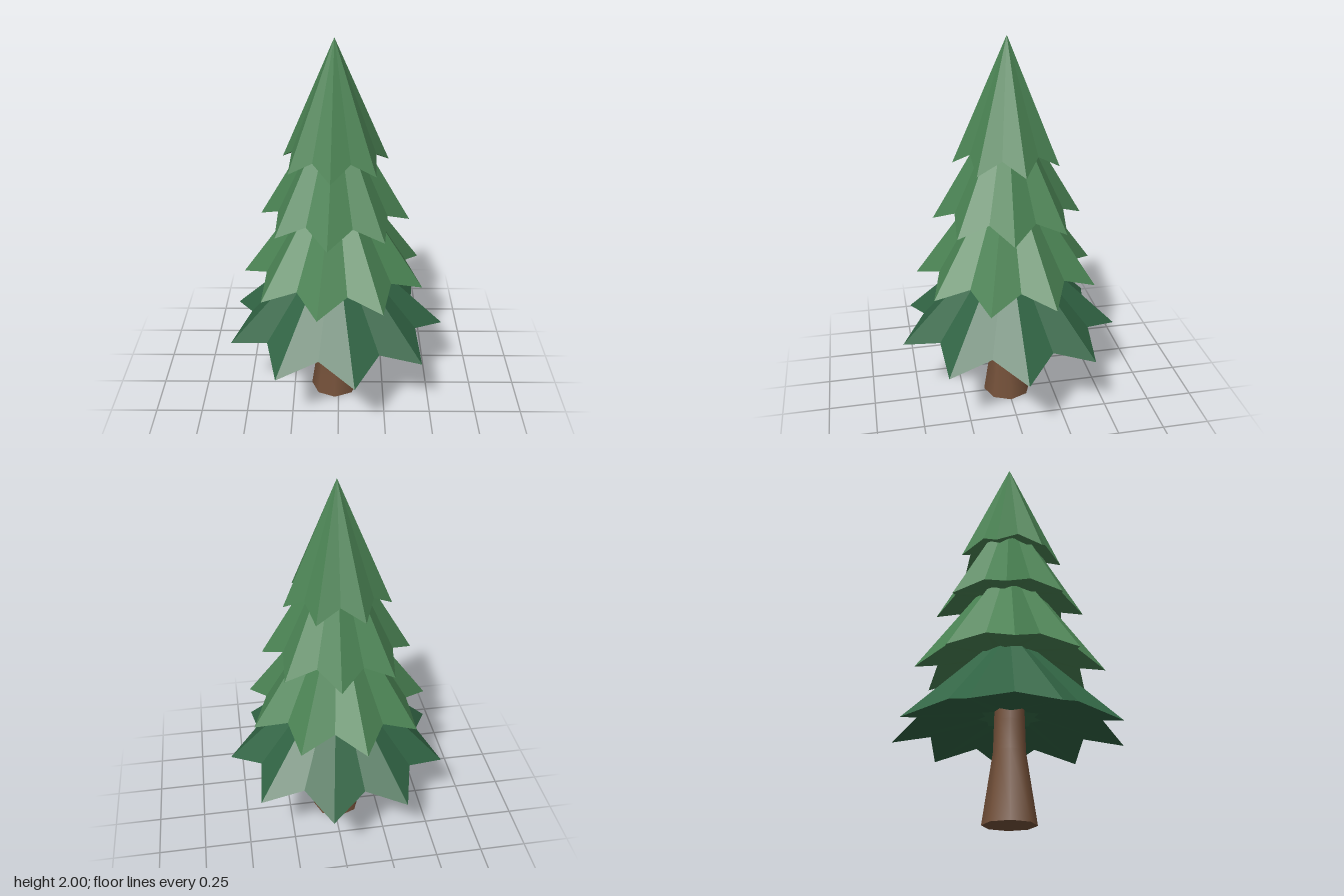
import * as THREE from 'three';

const AXIS_X = -0.02;

// Star-shaped skirt of branches: folded outer cone plus a shallow underside with a hole for the trunk.
function tierGeometry({ points, radius, tipY, apexY, turn }) {
  const ring = (scale, yTip, yValley) => Array.from({ length: points * 2 }, (_, i) => {
    const a = THREE.MathUtils.degToRad(turn) + (i * Math.PI) / points;
    const r = radius * scale * (i % 2 ? 0.775 : 1);
    return new THREE.Vector3(Math.cos(a) * r, i % 2 ? yValley : yTip, Math.sin(a) * r);
  });
  const rim = ring(1, tipY, tipY + 0.07);
  const hole = ring(0.27, tipY + 0.1, tipY + 0.1);
  const apex = new THREE.Vector3(0, apexY, 0);
  const corners = [];
  for (let i = 0; i < rim.length; i++) {
    const j = (i + 1) % rim.length;
    corners.push(apex, rim[j], rim[i]);
    corners.push(rim[i], rim[j], hole[j], rim[i], hole[j], hole[i]);
  }
  // unshared corners keep every fold sharp
  const geometry = new THREE.BufferGeometry().setFromPoints(corners);
  geometry.computeVertexNormals();
  return geometry;
}

export function createModel() {
  const bark = new THREE.MeshStandardMaterial({ color: 0x735039 });
  bark.name = 'bark brown';
  const darkGreen = new THREE.MeshStandardMaterial({ color: 0x316444, side: THREE.DoubleSide });
  darkGreen.name = 'dark needle green';
  const green = new THREE.MeshStandardMaterial({ color: 0x4a8253, side: THREE.DoubleSide });
  green.name = 'needle green';

  const tree = new THREE.Group();
  tree.name = 'pineTree';
  const add = (name, geometry, material) => {
    const mesh = new THREE.Mesh(geometry, material);
    mesh.name = name;
    mesh.position.x = AXIS_X;
    tree.add(mesh);
    return mesh;
  };

  // Trunk flaring towards the ground
  const profile = [[0.132, 0], [0.08, 0.35], [0.076, 0.5], [0.07, 0.7]];
  add('trunk', new THREE.LatheGeometry(profile.map(([r, y]) => new THREE.Vector2(r, y)), 8), bark);
  add('trunkBase', new THREE.CircleGeometry(0.132, 8).rotateX(Math.PI / 2), bark);

  // Branch tiers, bottom to top
  const tiers = [
    { name: 'bottomBranches', points: 9, radius: 0.586, tipY: 0.42, apexY: 1.0, turn: 0, material: darkGreen },
    { name: 'lowerBranches', points: 9, radius: 0.48, tipY: 0.75, apexY: 1.42, turn: 20, material: green },
    { name: 'upperBranches', points: 8, radius: 0.381, tipY: 1.08, apexY: 1.73, turn: 5, material: green },
    { name: 'topBranches', points: 7, radius: 0.273, tipY: 1.38, apexY: 2.0, turn: -9, material: green },
  ];
  for (const tier of tiers) add(tier.name, tierGeometry(tier), tier.material);

  return tree;
}
